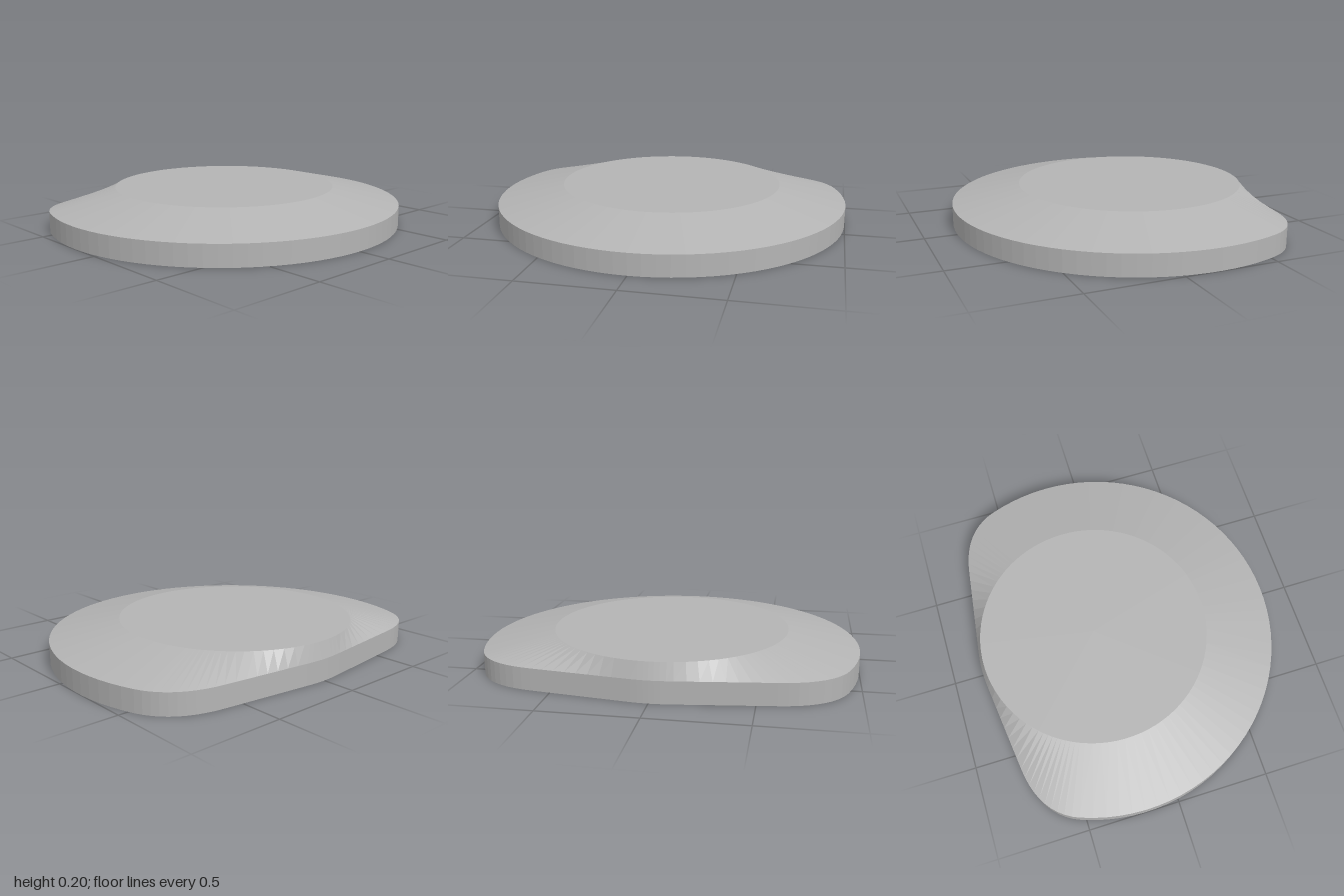
import * as THREE from 'three';

const CENTRE_Z = -0.175, TOP_RADIUS = 0.627, RIM_Y = 0.115, TOP_Y = 0.2;

// Plan outline: a round front, softened rear corners and a shallow rear point
function outlinePoints() {
  const start = Math.atan2(-0.355, 0.935);
  const half = [];
  for (let i = 0; i < 28; i++) {
    const a = Math.PI / 2 + (start - Math.PI / 2) * i / 28;
    half.push(new THREE.Vector2(Math.cos(a), CENTRE_Z + Math.sin(a)));
  }
  const v = (x, z) => new THREE.Vector2(x, z);
  half.push(...new THREE.QuadraticBezierCurve(v(0.935, -0.53), v(0.86, -0.725), v(0.6, -0.757)).getPoints(10));
  half.push(...new THREE.LineCurve(v(0.6, -0.757), v(0.12, -0.818)).getPoints(8).slice(1));
  half.push(...new THREE.QuadraticBezierCurve(v(0.12, -0.818), v(0.05, -0.827), v(0, -0.827)).getPoints(4).slice(1));
  const mirrored = half.slice(1, -1).reverse().map(p => v(-p.x, p.y));
  return half.concat(mirrored);
}

// Faceted surface joining two closed rings
function band(lower, upper) {
  const pos = [];
  lower.forEach((a, i) => {
    const j = (i + 1) % lower.length;
    const b = lower[j], c = upper[j], d = upper[i];
    for (const p of [a, b, c, a, c, d]) pos.push(p.x, p.y, p.z);
  });
  const geo = new THREE.BufferGeometry();
  geo.setAttribute('position', new THREE.Float32BufferAttribute(pos, 3));
  geo.computeVertexNormals();
  return geo;
}

export function createModel() {
  const group = new THREE.Group();
  group.name = 'bevelledBase';
  const grey = new THREE.MeshStandardMaterial({ color: 0xb4b4b4 });
  grey.name = 'grey';

  const outline = outlinePoints();
  const ring = y => outline.map(p => new THREE.Vector3(p.x, y, p.y));
  const bottom = ring(0), rim = ring(RIM_Y);
  // Each rim point runs towards the centre onto the round top
  const top = outline.map(p => {
    const a = Math.atan2(p.y - CENTRE_Z, p.x);
    return new THREE.Vector3(TOP_RADIUS * Math.cos(a), TOP_Y, CENTRE_Z + TOP_RADIUS * Math.sin(a));
  });
  const hub = y => outline.map(() => new THREE.Vector3(0, y, CENTRE_Z));

  const add = (name, lower, upper) => {
    const mesh = new THREE.Mesh(band(lower, upper), grey);
    mesh.name = name;
    group.add(mesh);
  };
  add('underside', hub(0), bottom);
  add('sideWall', bottom, rim);
  add('slopedRim', rim, top);
  add('topDisc', top, hub(TOP_Y));
  return group;
}
